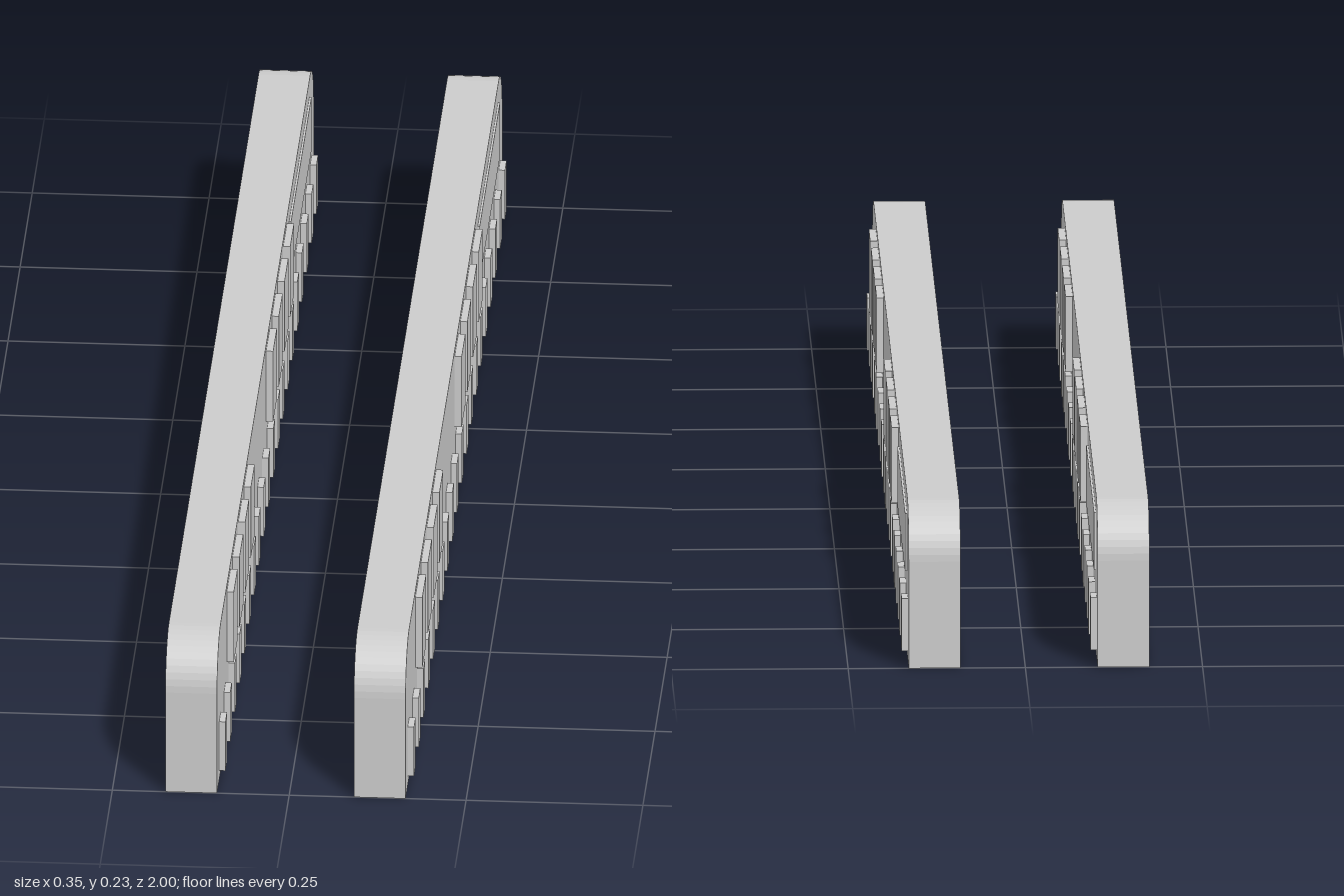
import * as THREE from 'three';

const material = new THREE.MeshStandardMaterial({ color: 0xcccccc });
const WIDTH = 0.073, HEIGHT = 0.229, RADIUS = 0.075;

// Side outline: square at the base, rounded at both upper ends
function slabGeometry() {
  const s = new THREE.Shape();
  s.moveTo(-1, 0);
  s.lineTo(1, 0);
  s.lineTo(1, HEIGHT - RADIUS);
  s.absarc(1 - RADIUS, HEIGHT - RADIUS, RADIUS, 0, Math.PI / 2, false);
  s.absarc(RADIUS - 1, HEIGHT - RADIUS, RADIUS, Math.PI / 2, Math.PI, false);
  s.closePath();
  const g = new THREE.ExtrudeGeometry(s, { depth: WIDTH, bevelEnabled: false, curveSegments: 6 });
  return g.rotateY(Math.PI / 2);
}

// Raised plate on the outer (+x) face, sunk slightly into the slab
function addPlate(parent, name, z, y0, y1, length, thickness) {
  const sink = 0.005;
  const mesh = new THREE.Mesh(new THREE.BoxGeometry(thickness + sink, y1 - y0, length), material);
  mesh.position.set(WIDTH + (thickness - sink) / 2, (y0 + y1) / 2, z);
  mesh.name = name;
  parent.add(mesh);
}

function createSidePanel(name) {
  const panel = new THREE.Group();
  panel.name = name;
  const slab = new THREE.Mesh(slabGeometry(), material);
  slab.name = 'slab';
  panel.add(slab);

  // Lower row of small plates
  for (let i = 0; i < 20; i++) {
    addPlate(panel, 'lowerPlate', 0.94 - i * 0.099, 0.015, 0.091, 0.033, 0.009);
  }
  // Two upper groups of four large plates
  for (const start of [0.76, -0.053]) {
    for (let i = 0; i < 4; i++) {
      addPlate(panel, 'upperPlate', start - i * 0.118, 0.111, 0.22, 0.077, 0.01);
    }
  }
  // Long, very thin plate near the rear
  addPlate(panel, 'rearPlate', -0.7, 0.12, 0.203, 0.42, 0.003);
  return panel;
}

export function createModel() {
  const model = new THREE.Group();
  model.name = 'sidePanels';
  const right = createSidePanel('rightPanel');
  right.position.x = -0.175;
  const left = createSidePanel('leftPanel');
  left.position.x = 0.0915;
  model.add(right, left);
  return model;
}
